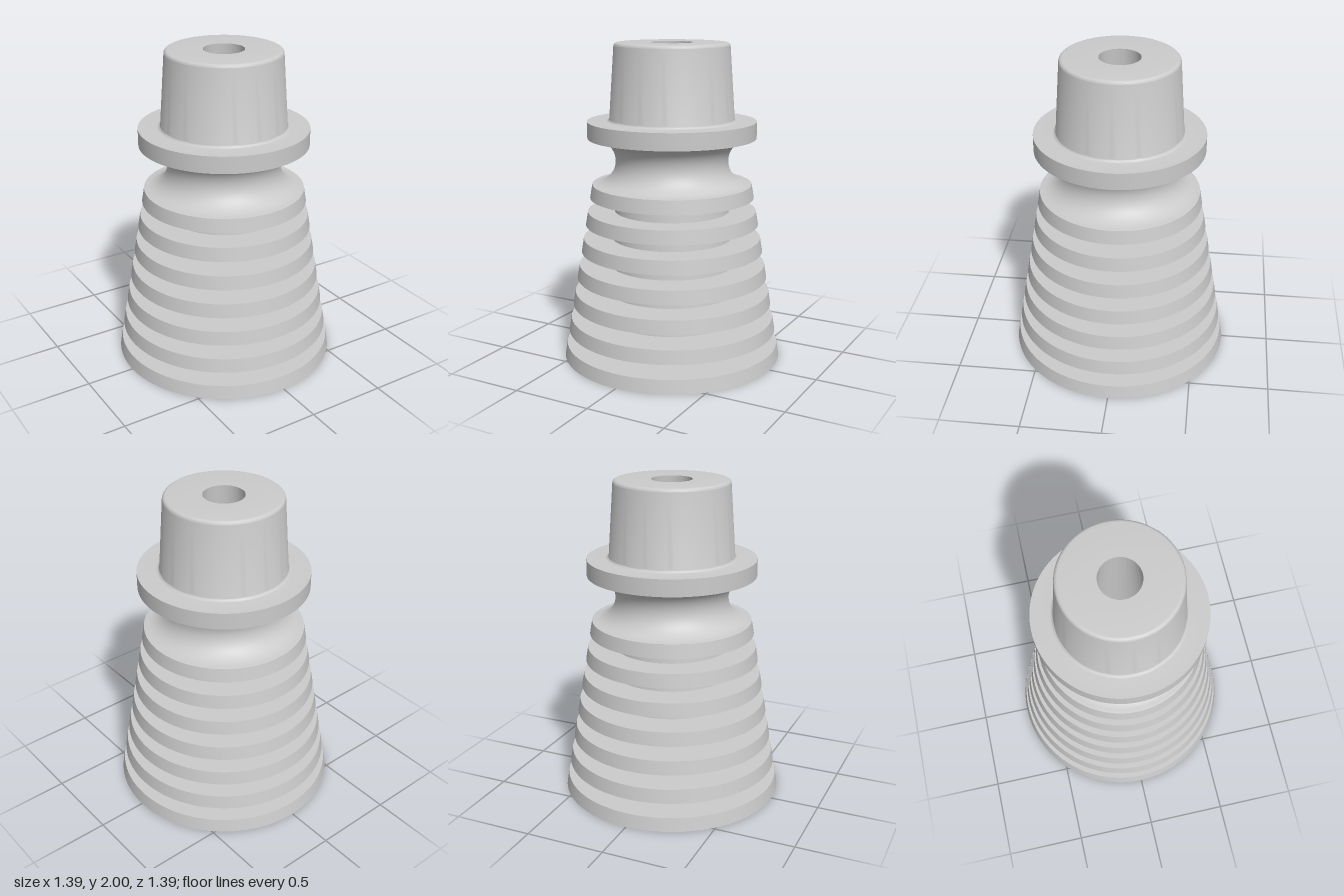
import * as THREE from 'three';
import { toCreasedNormals } from 'three/addons/utils/BufferGeometryUtils.js';

const FINS = 7, PITCH = 0.173, FIN_HEIGHT = 0.086;
const finRadius = (y) => 0.695 - 0.172 * y;
const coreRadius = (y) => 0.467 - 0.11 * y;

// Points on an arc, angles in degrees
function arc(cx, cy, r, from, to, steps) {
  return Array.from({ length: steps + 1 }, (_, i) => {
    const a = THREE.MathUtils.degToRad(from + (to - from) * i / steps);
    return [cx + r * Math.cos(a), cy + r * Math.sin(a)];
  });
}

export function createModel() {
  const group = new THREE.Group();
  group.name = 'ribbedSleeve';
  const material = new THREE.MeshStandardMaterial({ color: 0xcccccc });

  const profile = [[0.317, 0]];

  // Tapered stack of fins around a slimmer core
  for (let i = 0; i < FINS; i++) {
    const bottom = i * PITCH, top = bottom + FIN_HEIGHT;
    profile.push([finRadius(bottom), bottom], [finRadius(top), top]);
    if (i < FINS - 1) {
      profile.push([coreRadius(top), top], [coreRadius(bottom + PITCH), bottom + PITCH]);
    }
  }

  // Round groove under the flange
  profile.push(...arc(0.498, 1.27, 0.145, 270, 90, 28));

  // Flange
  profile.push([0.527, 1.415], [0.527, 1.52]);

  // Tapered collar with a small base fillet and rounded rim
  profile.push(...arc(0.409, 1.54, 0.02, 270, 184, 6));
  profile.push(...arc(0.336, 1.978, 0.022, 4, 90, 6));

  // Conical bore back down to the base
  profile.push([0.125, 2], [0.317, 0]);

  const lathe = new THREE.LatheGeometry(profile.map(([x, y]) => new THREE.Vector2(x, y)), 96);
  const body = new THREE.Mesh(toCreasedNormals(lathe, Math.PI / 6), material);
  body.name = 'finnedBody';
  group.add(body);
  return group;
}
